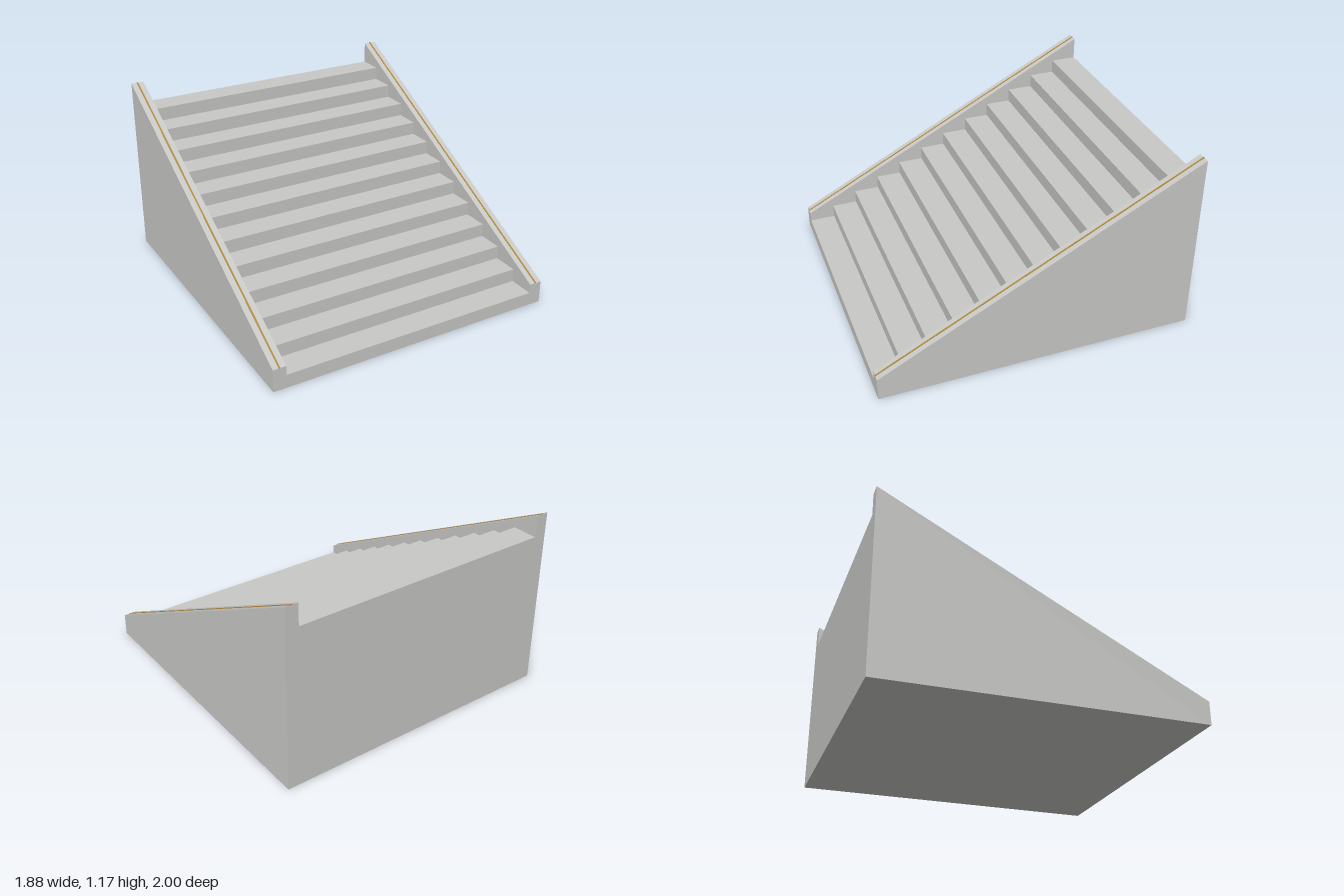
import * as THREE from 'three';

export function createModel() {
  const group = new THREE.Group();
  const concrete = new THREE.MeshStandardMaterial({ color: 0xc8c8c6 });
  concrete.name = 'concrete';
  const gold = new THREE.MeshStandardMaterial({ color: 0xb08a3c });
  gold.name = 'dark gold';

  const add = (name, geometry, material) => {
    const mesh = new THREE.Mesh(geometry, material);
    mesh.name = name;
    group.add(mesh);
    return mesh;
  };

  // Solid steps, each reaching down to the ground
  const count = 12, run = 2 / count, rise = 1.03 / count, inner = 0.857, outer = 0.94;
  for (let i = 0; i < count; i++) {
    const h = rise * (i + 1);
    add('step' + (i + 1), new THREE.BoxGeometry(inner * 2, h, run), concrete)
      .position.set(0, h / 2, 1 - run * (i + 0.5));
  }

  // Slab standing in the z-y plane, extruded along x
  const slab = (points, width) => {
    const shape = new THREE.Shape(points.map(([z, y]) => new THREE.Vector2(-z, y)));
    return new THREE.ExtrudeGeometry(shape, { depth: width, bevelEnabled: false })
      .translate(0, 0, -width / 2).rotateY(Math.PI / 2);
  };

  // Sloping side walls, each with a thin inlaid strip along the top
  const low = 0.145, high = 1.17, lift = 0.003;
  const wall = slab([[1, 0], [-1, 0], [-1, high], [1, low]], outer - inner);
  const strip = slab([[1, low], [-1, high], [-1, high + lift], [1, low + lift]], 0.01);
  for (const [side, s] of [['left', 1], ['right', -1]]) {
    const x = s * (inner + outer) / 2;
    add(side + 'Wall', wall, concrete).position.x = x;
    add(side + 'Strip', strip, gold).position.x = x;
  }
  return group;
}
